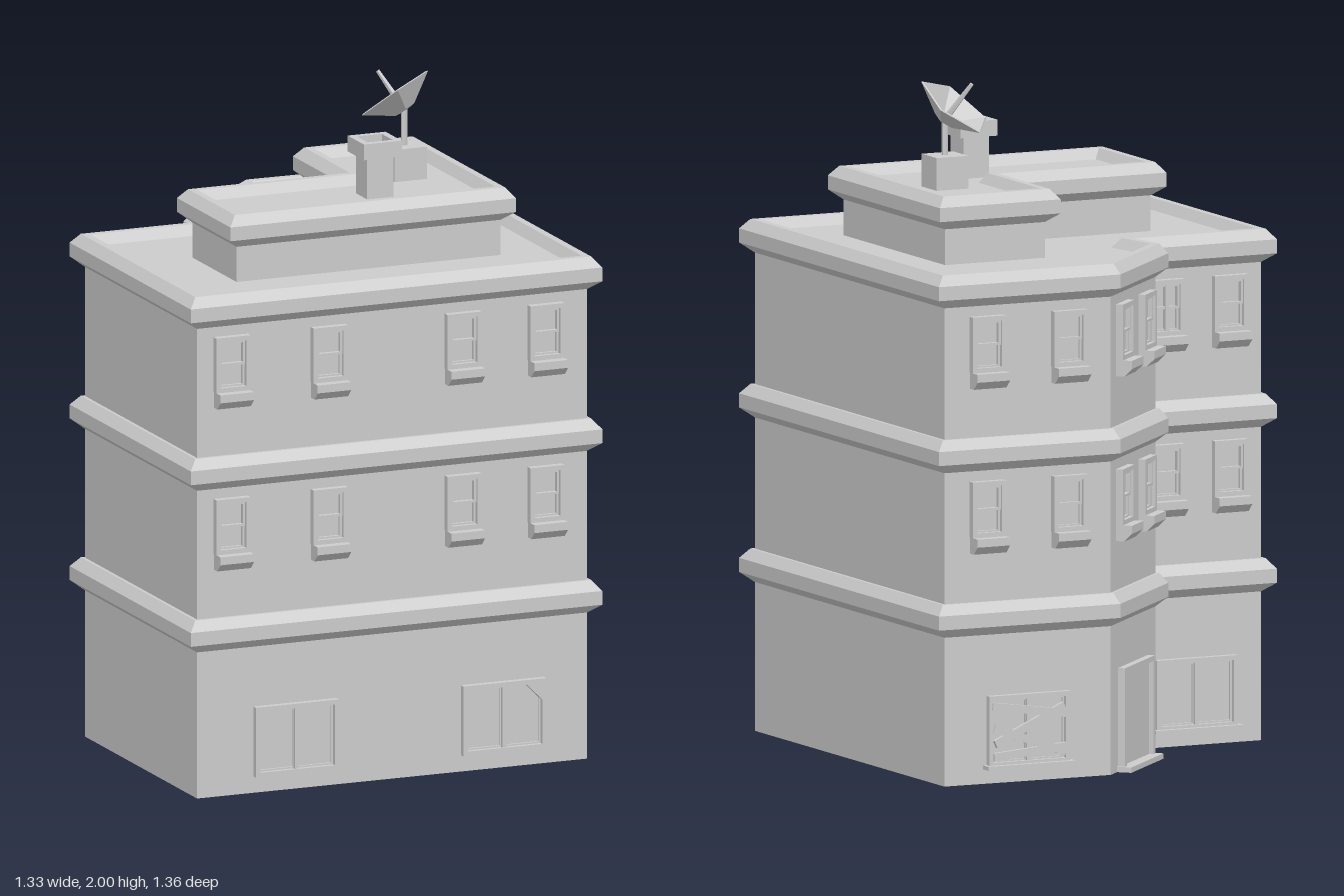
import * as THREE from 'three';

const mat = new THREE.MeshStandardMaterial({ color: 0xcccccc, flatShading: true, side: THREE.DoubleSide });
const V = (x, y) => new THREE.Vector2(x, y);

// Floor plans, counter-clockwise from above, as (x, -z)
const plan = [V(-0.63, -0.627), V(0.625, -0.627), V(0.625, 0.625), V(0.08, 0.635), V(-0.215, 0.34), V(-0.19, 0.21), V(-0.63, 0.21)];
const tierPlan = [V(-0.405, -0.4), V(0.445, -0.4), V(0.445, 0.27), V(0.115, 0.27), V(0.115, -0.07), V(-0.405, -0.07)];

function add(parent, name, geo, x = 0, y = 0, z = 0) {
  const m = new THREE.Mesh(geo, mat);
  m.name = name;
  m.position.set(x, y, z);
  parent.add(m);
  return m;
}

const box = (parent, name, w, h, d, x, y, z) => add(parent, name, new THREE.BoxGeometry(w, h, d), x, y, z);

// Upright block raised from a floor plan
function prism(poly, y0, y1) {
  const g = new THREE.ExtrudeGeometry(new THREE.Shape(poly), { depth: y1 - y0, bevelEnabled: false });
  return g.rotateX(-Math.PI / 2).translate(0, y0, 0);
}

// Mitred outline offset, positive is outward
function offset(poly, d) {
  const n = poly.length;
  const normal = (a, b) => V(b.y - a.y, a.x - b.x).normalize();
  return poly.map((p, i) => {
    const n1 = normal(poly[(i + n - 1) % n], p), n2 = normal(p, poly[(i + 1) % n]);
    return p.clone().addScaledVector(n1.clone().add(n2), d / (1 + n1.dot(n2)));
  });
}

// Moulding: profile of [outward offset, height] swept around a floor plan
function moulding(poly, profile, y) {
  const rings = profile.map(([d, h]) => offset(poly, d).map(p => [p.x, y + h, -p.y]));
  const pos = [], n = poly.length;
  for (let j = 0; j + 1 < rings.length; j++) {
    for (let i = 0; i < n; i++) {
      const k = (i + 1) % n;
      const a = rings[j][i], b = rings[j][k], c = rings[j + 1][k], d = rings[j + 1][i];
      pos.push(...a, ...b, ...c, ...a, ...c, ...d);
    }
  }
  const g = new THREE.BufferGeometry();
  g.setAttribute('position', new THREE.Float32BufferAttribute(pos, 3));
  g.computeVertexNormals();
  return g;
}

const bandProfile = [[0, -0.05], [0.035, -0.022], [0.035, 0.02], [0.01, 0.05], [0, 0.05]];
const parapetProfile = [[0, -0.05], [0.035, -0.022], [0.035, 0.02], [0.01, 0.05], [-0.012, 0.05], [-0.033, 0.02]];

// Rectangular frame standing on y = 0, optionally with cut upper corners
function frame(w, h, b, depth, cut = 0) {
  const s = new THREE.Shape([V(-w / 2, 0), V(w / 2, 0), V(w / 2, h), V(-w / 2, h)]);
  const x = w / 2 - b, t = h - b;
  const hole = [V(-x, b), V(-x, t - cut), V(-x + cut, t), V(x - cut, t), V(x, t - cut), V(x, b)];
  s.holes.push(new THREE.Path(cut ? hole : [V(-x, b), V(-x, t), V(x, t), V(x, b)]));
  return new THREE.ExtrudeGeometry(s, { depth, bevelEnabled: false });
}

// Group lying on a wall, its +z pointing outward
function onWall(root, name, x, y, z, turn) {
  const g = new THREE.Group();
  g.name = name;
  g.position.set(x, y, z);
  g.rotation.y = turn;
  root.add(g);
  return g;
}

// Sash window with a sloping sill, y at the underside of the sill
function sashWindow(root, x, y, z, turn, mullion) {
  const g = onWall(root, 'sashWindow', x, y, z, turn);
  add(g, 'windowFrame', frame(0.11, 0.167, 0.014, 0.022), 0, 0.048, 0);
  add(g, 'upperSash', frame(0.082, 0.074, 0.007, 0.014), 0, 0.127, 0);
  add(g, 'lowerSash', frame(0.082, 0.074, 0.007, 0.009), 0, 0.06, 0);
  const side = new THREE.Shape([V(0, 0), V(0.026, 0), V(0.05, 0.024), V(0.05, 0.048), V(0, 0.048)]);
  const sill = new THREE.ExtrudeGeometry(side, { depth: 0.108, bevelEnabled: false });
  add(g, 'windowSill', sill.rotateY(-Math.PI / 2), 0.054, 0, 0);
  if (mullion) box(g, 'mullion', 0.012, 0.14, 0.016, 0, 0.13, 0.008);
}

// Wide ground floor window
function shopWindow(root, x, z, turn, { cut = 0, sill = false, boards = false } = {}) {
  const g = onWall(root, 'shopWindow', x, 0.05, z, turn);
  add(g, 'shopFrame', frame(0.268, 0.213, 0.014, 0.02, cut), 0, 0, 0);
  box(g, 'shopMullion', 0.014, 0.19, 0.016, 0, 0.105, 0.008);
  for (const s of [-1, 1]) add(g, 'shopPane', frame(0.116, 0.187, 0.006, 0.007), s * 0.062, 0.013, 0);
  if (sill) box(g, 'shopSill', 0.29, 0.012, 0.036, 0, 0, 0.018);
  if (boards) {
    // Planks: height, tilt, length
    for (const [py, tilt, len] of [[0.165, -0.14, 0.25], [0.12, 0.42, 0.25], [0.075, -0.34, 0.25], [0.04, 0.08, 0.24]]) {
      box(g, 'plank', len, 0.024, 0.012, 0, py, 0.019).rotation.z = tilt;
    }
  }
}

export function createModel() {
  const root = new THREE.Group();
  root.name = 'building';

  // Main block with its floor bands and roof parapet
  add(root, 'walls', prism(plan, 0, 1.5));
  for (const y of [0.495, 0.987]) add(root, 'floorBand', moulding(plan, bandProfile, y));
  add(root, 'parapet', moulding(plan, parapetProfile, 1.48));

  // Raised roof tier
  add(root, 'roofTier', prism(tierPlan, 1.49, 1.677));
  add(root, 'tierParapet', moulding(tierPlan, parapetProfile, 1.657));

  // Upper windows on the front, back, recessed back and corner walls
  const corner = -Math.PI * 0.75;
  for (const y of [0.692, 1.185]) {
    for (const x of [-0.522, -0.209, 0.222, 0.489]) sashWindow(root, x, y, 0.627, 0);
    for (const x of [0.22, 0.489]) sashWindow(root, x, y, -0.63, Math.PI);
    for (const x of [-0.522, -0.312]) sashWindow(root, x, y, -0.21, Math.PI, x > -0.4 && y > 1);
    for (const t of [0.25, 0.75]) sashWindow(root, 0.08 - 0.295 * t, y, -0.635 + 0.295 * t, corner);
  }

  // Ground floor windows
  shopWindow(root, -0.315, 0.627, 0);
  shopWindow(root, 0.353, 0.627, 0, { cut: 0.05 });
  shopWindow(root, 0.355, -0.63, Math.PI, { sill: true, boards: true });
  shopWindow(root, -0.41, -0.21, Math.PI, { sill: true });

  // Corner entrance
  const door = onWall(root, 'entrance', -0.0675, 0, -0.4875, corner);
  add(door, 'doorFrame', frame(0.28, 0.31, 0.016, 0.022));
  box(door, 'doorLeaf', 0.25, 0.28, 0.012, 0, 0.15, 0.002);
  box(door, 'doorStep', 0.3, 0.016, 0.045, 0, 0.008, 0.0225);

  // Chimney with an open cap
  box(root, 'chimneyStack', 0.085, 0.14, 0.085, 0.112, 1.74, 0.232);
  const cap = frame(0.122, 0.122, 0.021, 0.048).rotateX(-Math.PI / 2);
  add(root, 'chimneyCap', cap, 0.112, 1.802, 0.293);

  // Satellite dish on its plinth, tilted toward the back corner
  box(root, 'dishPlinth', 0.105, 0.1, 0.1, 0.28, 1.725, 0.06);
  add(root, 'dishPole', new THREE.CylinderGeometry(0.01, 0.01, 0.11, 6), 0.281, 1.825, 0.06);
  const dish = new THREE.Group();
  dish.name = 'dish';
  dish.position.set(0.286, 1.876, 0.057);
  const u = new THREE.Vector3(1, 0, -1).normalize();
  const n = new THREE.Vector3(-0.54, 1, -0.54).normalize();
  dish.quaternion.setFromRotationMatrix(new THREE.Matrix4().makeBasis(u, n, u.clone().cross(n)));
  const bowl = [V(0, 0), V(0.035, 0.004), V(0.125, 0.06), V(0.12, 0.063), V(0.033, 0.01), V(0, 0.007)];
  add(dish, 'dishBowl', new THREE.LatheGeometry(bowl, 5, Math.PI / 12));
  add(dish, 'dishFeed', new THREE.CylinderGeometry(0.006, 0.011, 0.145, 5), 0, 0.073, 0);
  root.add(dish);

  return root;
}
